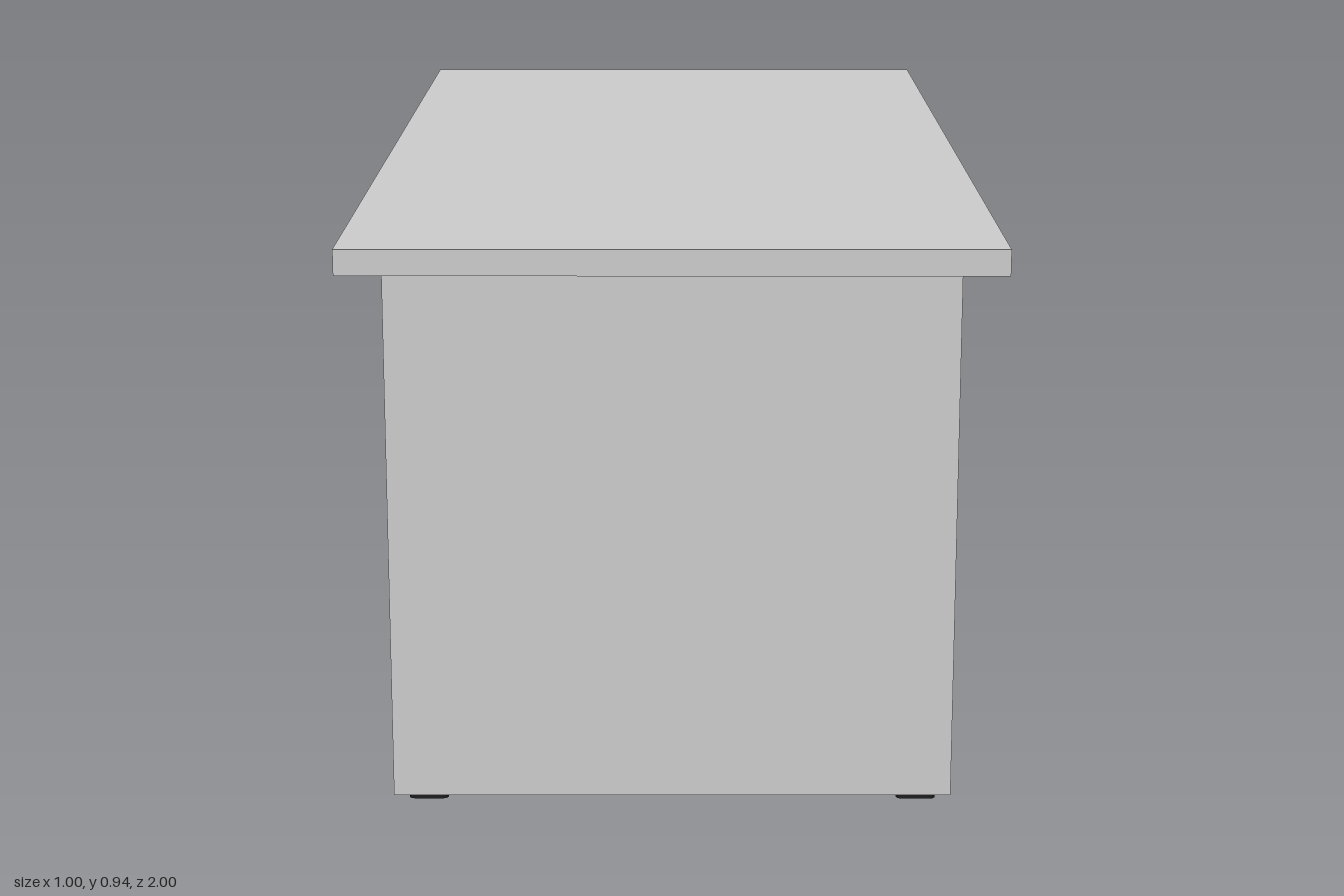
import * as THREE from 'three';

export function createModel() {
  const model = new THREE.Group();
  const grey = new THREE.MeshStandardMaterial({ color: 0xcccccc });
  const dark = new THREE.MeshStandardMaterial({ color: 0x1c1c1c });

  // Box spanning y0..y1, centred on x and z
  function box(name, parent, w, d, y0, y1, x, z, material) {
    const mesh = new THREE.Mesh(new THREE.BoxGeometry(w, y1 - y0, d), material);
    mesh.name = name;
    mesh.position.set(x, (y0 + y1) / 2, z);
    parent.add(mesh);
  }

  box('tabletop', model, 1, 2, 0.905, 0.945, 0, 0, grey);

  // Flat foot pad with rounded ends
  const length = 0.063, r = 0.009, height = 0.007;
  const outline = new THREE.Shape();
  outline.absarc(length / 2 - r, 0, r, -Math.PI / 2, Math.PI / 2);
  outline.absarc(r - length / 2, 0, r, Math.PI / 2, Math.PI * 1.5);
  const padGeometry = new THREE.ExtrudeGeometry(outline, { depth: height, bevelEnabled: false, curveSegments: 8 });
  padGeometry.rotateX(-Math.PI / 2);

  // Panel legs, each standing on two pads
  for (const side of [1, -1]) {
    const leg = new THREE.Group();
    leg.name = side > 0 ? 'frontLeg' : 'backLeg';
    leg.position.z = side * 0.785;
    box('legPanel', leg, 0.9, 0.023, height, 0.905, 0, 0, grey);
    for (const x of [-0.394, 0.394]) {
      const pad = new THREE.Mesh(padGeometry, dark);
      pad.name = 'footPad';
      pad.position.x = x;
      leg.add(pad);
    }
    model.add(leg);
  }
  return model;
}
